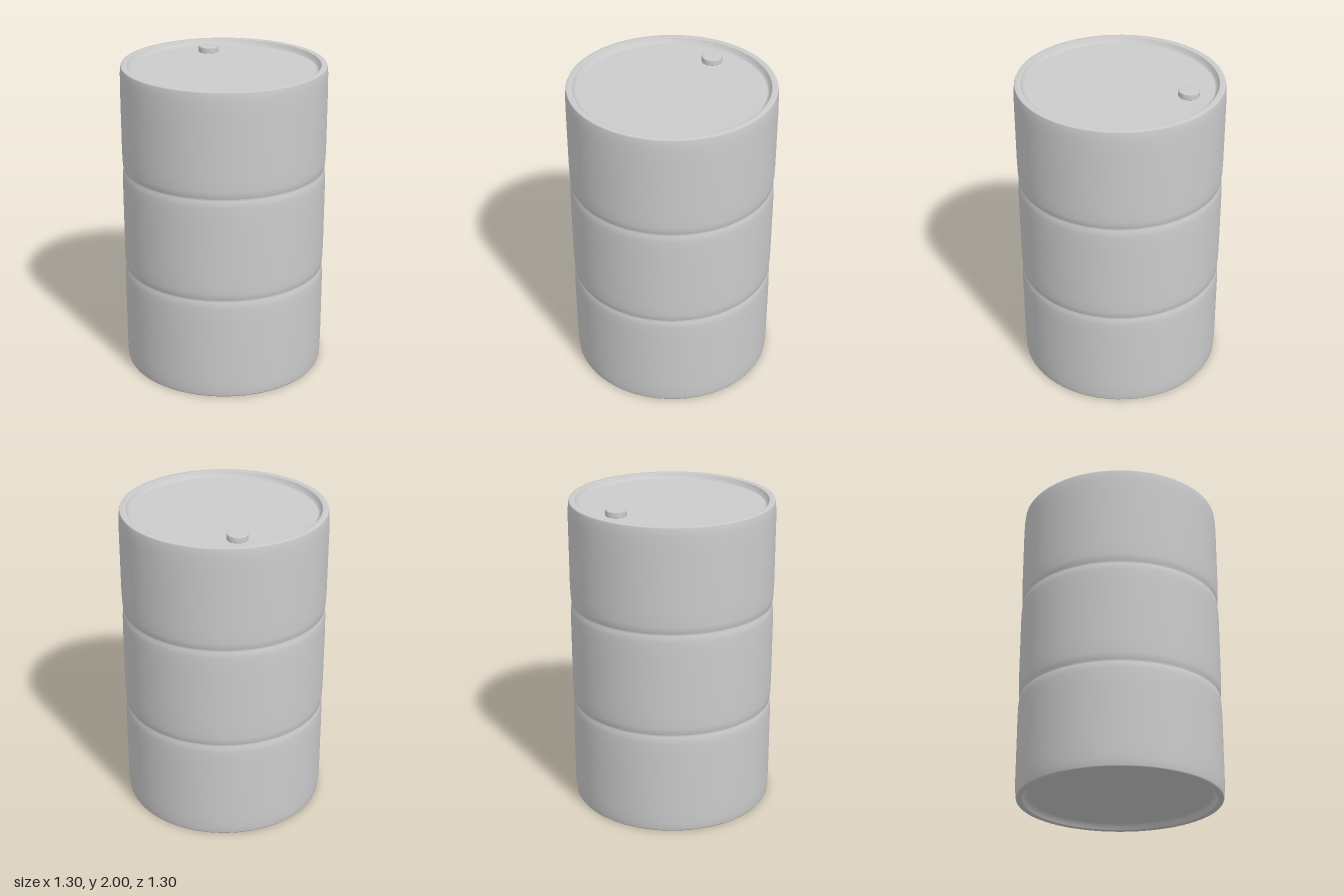
import * as THREE from 'three';

const TOP = 1.997, BAND = TOP / 3, FLOOR = 0.035;

export function createModel() {
  const model = new THREE.Group();
  const material = new THREE.MeshStandardMaterial({ color: 0xcccccc });

  const add = (name, geometry, x = 0, y = 0, z = 0) => {
    const mesh = new THREE.Mesh(geometry, material);
    mesh.name = name;
    mesh.position.set(x, y, z);
    model.add(mesh);
  };
  const lathe = (points, segments) =>
    new THREE.LatheGeometry(points.map(([r, y]) => new THREE.Vector2(r, y)), segments);

  // Half of an end: recessed plate, short wall and flat rim, from the centre outwards
  const end = [[0, FLOOR], [0.575, FLOOR], [0.59, FLOOR - 0.003], [0.6, 0.004], [0.606, 0], [0.638, 0]];

  // Three softly rounded bands separated by narrow grooves
  const profile = [...end];
  for (let i = 0; i < 3; i++) {
    const y = i * BAND;
    profile.push(
      [0.642, y + 0.008], [0.646, y + 0.05], [0.648, y + 0.13],
      [0.648, y + BAND - 0.13], [0.646, y + BAND - 0.05], [0.642, y + BAND - 0.008]
    );
    if (i < 2) profile.push([0.632, y + BAND]);
  }
  profile.push(...end.map(([r, y]) => [r, TOP - y]).reverse());
  add('drumBody', lathe(profile, 64));

  // Bung cap standing on the recessed lid
  add('bungCap', lathe([
    [0, 0], [0.064, 0], [0.065, 0.002], [0.065, 0.031], [0.062, 0.036], [0.058, 0.038], [0, 0.038]
  ], 24), -0.275, 2 - 0.038, -0.335);

  return model;
}
